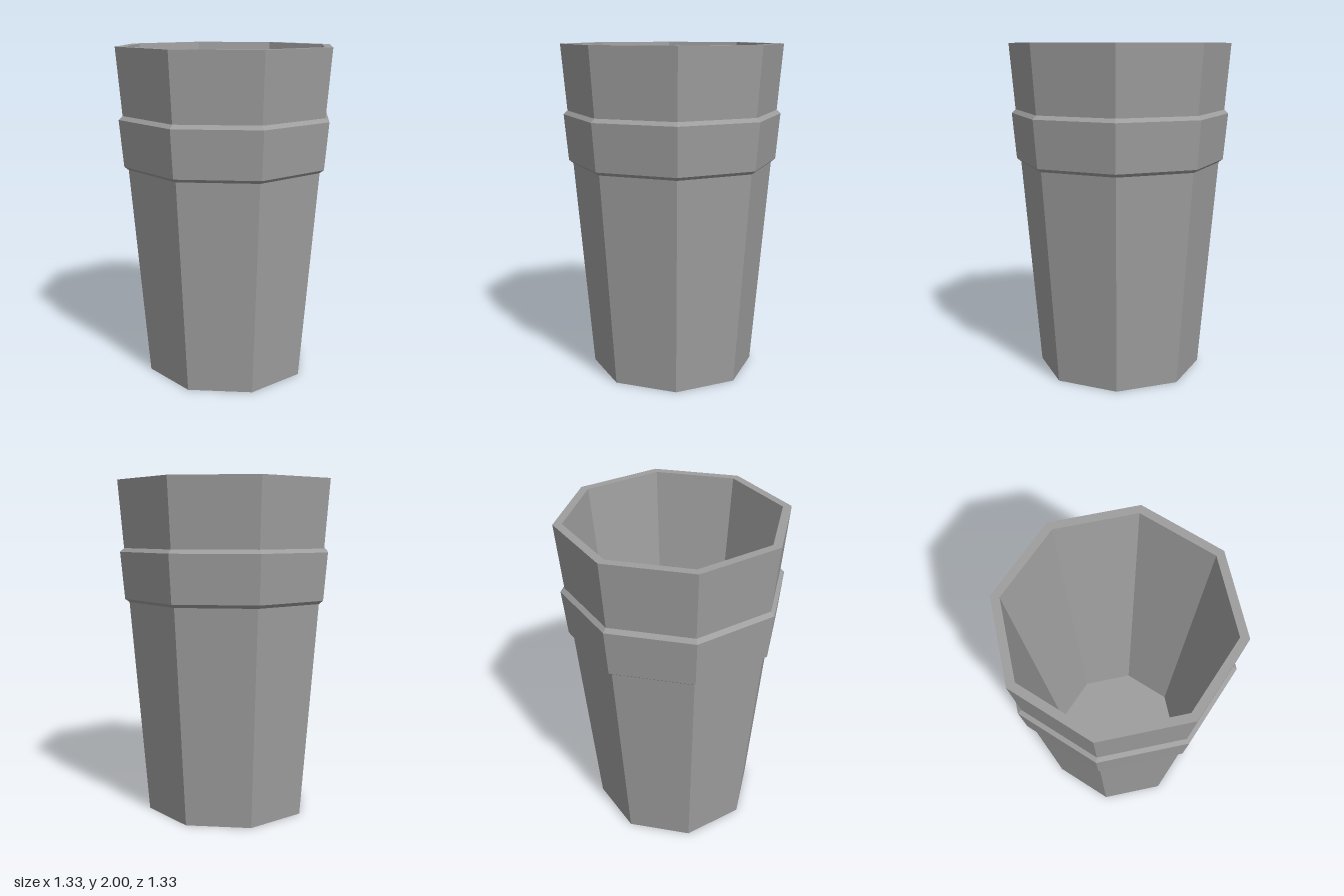
import * as THREE from 'three';

const SIDES = 8;

export function createModel() {
  const model = new THREE.Group();
  model.name = 'cup';

  const grey = new THREE.MeshStandardMaterial({ color: 0x9e9e9e });
  grey.name = 'grey';
  grey.flatShading = true;

  // Eight-sided ring of faces turned from [radius, height] points
  const addPart = (name, profile) => {
    const points = profile.map(([r, y]) => new THREE.Vector2(r, y));
    const mesh = new THREE.Mesh(new THREE.LatheGeometry(points, SIDES), grey);
    mesh.name = name;
    model.add(mesh);
  };

  // Underside, hollowed up from the bottom edge
  addPart('recessedBase', [[0, 0.05], [0.41, 0.05], [0.5, 0]]);

  // Tapered outer wall below the band
  addPart('lowerWall', [[0.5, 0], [0.606, 1.285]]);

  // Raised grip band with bevelled edges
  addPart('gripBand', [[0.606, 1.285], [0.632, 1.305], [0.657, 1.583], [0.633, 1.605]]);

  // Outer wall above the band, and the flat rim
  addPart('upperWall', [[0.633, 1.605], [0.666, 2]]);
  addPart('rim', [[0.666, 2], [0.615, 2]]);

  // Inside wall and floor
  addPart('innerWall', [[0.615, 2], [0.412, 0.1]]);
  addPart('innerFloor', [[0.412, 0.1], [0, 0.1]]);

  return model;
}
